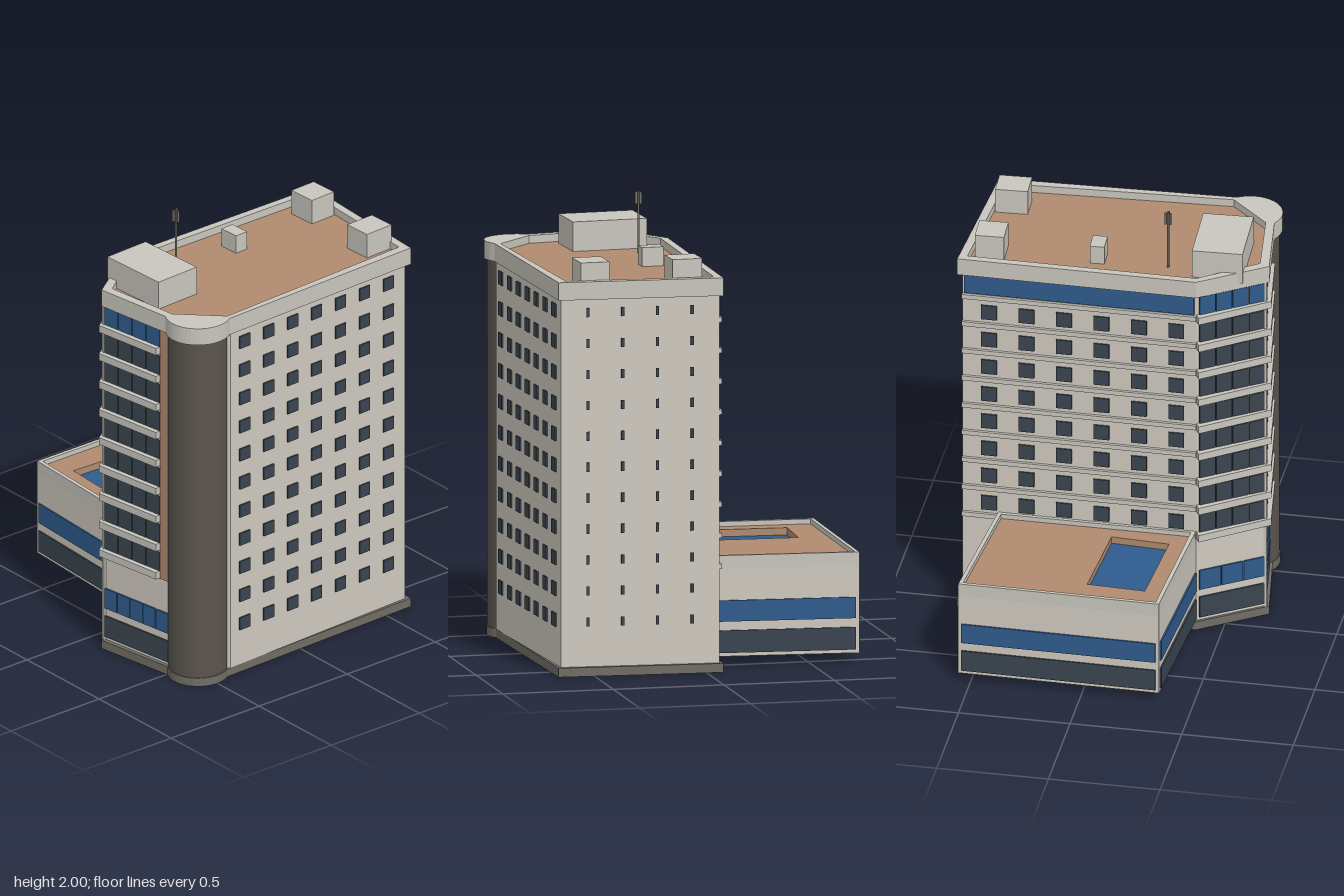
import * as THREE from 'three';

const mat = (name, color) => Object.assign(new THREE.MeshStandardMaterial({ color }), { name });

export function createModel() {
  const root = new THREE.Group();
  root.name = 'officeTower';
  const wall = mat('pale wall', 0xcfc9bf);
  const trim = mat('pale trim', 0xc8c6bd);
  const brown = mat('terracotta', 0xb08a6e);
  const blue = mat('blue glass', 0x2f5b8d);
  const dark = mat('dark glass', 0x3a4550);
  const column = mat('dark column', 0x5a544e);
  const plinthMat = mat('plinth stone', 0x716d65);

  const add = (name, geo, m, parent = root) => {
    const mesh = new THREE.Mesh(geo, m);
    mesh.name = name;
    parent.add(mesh);
    return mesh;
  };
  const group = (name) => {
    const g = new THREE.Group();
    g.name = name;
    root.add(g);
    return g;
  };
  const vecs = (pts) => pts.map(([x, z]) => new THREE.Vector2(x, -z));

  // Upright prism over a plan outline of [x, z] points, with an optional hole
  const prism = (name, pts, y0, y1, m, hole, parent) => {
    const shape = new THREE.Shape(vecs(pts));
    if (hole) shape.holes.push(new THREE.Path(vecs(hole)));
    const geo = new THREE.ExtrudeGeometry(shape, { depth: y1 - y0, bevelEnabled: false });
    geo.rotateX(-Math.PI / 2).translate(0, y0, 0);
    return add(name, geo, m, parent);
  };

  // Plate on the wall from a to b, centred u units along it; outside is to the right of travel seen from below
  const plate = (name, a, b, u, y, w, h, m, parent, depth = 0.008) => {
    const dx = b[0] - a[0], dz = b[1] - a[1], len = Math.hypot(dx, dz);
    const mesh = add(name, new THREE.BoxGeometry(w, h, depth), m, parent);
    const out = depth / 2 - 0.001;
    mesh.position.set(a[0] + (dx * u - dz * out) / len, y, a[1] + (dz * u + dx * out) / len);
    mesh.rotation.y = Math.atan2(-dz, dx);
  };
  const length = (a, b) => Math.hypot(b[0] - a[0], b[1] - a[1]);

  // Tower plan
  const A = [-0.065, 0.385], B = [0.12, 0.655], C = [0.5, 0.6];
  const D = [0.69, 0.41], E = [0.645, -0.62], F = [-0.06, -0.665];
  const cx = 0.575, cz = 0.5;
  const rimOutline = (r) => {
    const pts = [[-0.08, 0.385], [0.12, 0.675]];
    for (let i = 0; i <= 20; i++) {
      const t = THREE.MathUtils.degToRad(121 - i * 7.75);
      pts.push([cx + r * Math.cos(t), cz + r * Math.sin(t)]);
    }
    return pts.concat([[0.66, -0.64], [-0.075, -0.685]]);
  };
  const roofEdge = [[-0.045, 0.38], [0.14, 0.63], [0.5, 0.585], [0.67, 0.41], [0.62, -0.605], [-0.04, -0.645]];

  prism('plinth', rimOutline(0.135), 0, 0.04, plinthMat);
  prism('towerBody', [A, B, C, D, E, F], 0.04, 1.69, wall);
  prism('parapet', rimOutline(0.145), 1.68, 1.76, trim, roofEdge);
  prism('roofDeck', roofEdge, 1.69, 1.725, brown);
  const shaft = add('cornerColumn', new THREE.CylinderGeometry(0.131, 0.131, 1.66, 40), column);
  shaft.position.set(cx, 0.86, cz);

  // Right wall windows
  const rightWindows = group('rightWindows');
  for (let r = 0; r < 11; r++)
    for (let c = 0; c < 7; c++)
      plate('rightWindow', D, E, 0.082 + c * 0.1412, 0.24 + r * 0.138, 0.06, 0.06, dark, rightWindows);

  // Narrow slits in the back wall
  const backWindows = group('backWindows');
  for (let r = 0; r < 11; r++)
    for (let c = 0; c < 4; c++)
      plate('backSlit', E, F, 0.12 + c * 0.155, 0.24 + r * 0.138, 0.014, 0.04, dark, backWindows);

  // Front glazing in panes, with balcony ledges at each floor
  const front = group('frontGlazing');
  const ledges = group('ledges');
  const glazing = (a, b, u0, u1, n, y0, y1, m) => {
    const step = (u1 - u0) / n;
    for (let i = 0; i < n; i++)
      plate('pane', a, b, u0 + (i + 0.5) * step, (y0 + y1) / 2, step - 0.005, y1 - y0, m, front);
  };
  const slant = length(A, B), face = length(B, C), side = length(F, A);
  glazing(A, B, 0.01, slant, 1, 0.055, 0.158, dark);
  glazing(B, C, 0, face, 1, 0.055, 0.158, dark);
  glazing(A, B, 0.01, slant, 3, 0.195, 0.292, blue);
  glazing(B, C, 0, face, 5, 0.195, 0.292, blue);
  const ledgePlan = [A, [-0.095, 0.4], [0.115, 0.685], [0.45, 0.637], [0.45, 0.6], [0.12, 0.64]];
  for (let k = 0; k < 9; k++) {
    const y = 0.47 + k * 0.1375;
    const m = k === 8 ? blue : dark;
    prism('balconyLedge', ledgePlan, y - 0.017, y + 0.017, trim, null, ledges);
    plate('sideLedge', F, A, side / 2, y, side, 0.022, trim, ledges, 0.014);
    glazing(A, B, 0.01, slant, 4, y + 0.017, y + 0.106, m);
    glazing(B, C, 0, 0.334, 4, y + 0.017, y + 0.106, m);
    // Left wall: separate windows, with a blue band on the top floor
    if (k === 8) plate('sideBand', F, A, side / 2, y + 0.062, side - 0.02, 0.09, blue, front);
    else for (let c = 0; c < 6; c++)
      plate('sideWindow', F, A, 0.12 + c * 0.168, y + 0.064, 0.07, 0.07, dark, front);
  }
  plate('terracottaStrip', B, C, 0.359, 1.068, 0.05, 1.235, brown, root);
  const post = add('frontPost', new THREE.BoxGeometry(0.014, 1.64, 0.014), trim);
  post.position.set(0.118, 0.86, 0.658);

  // Low annex with a sunken pool on its roof
  const G = [-0.73, 0.345], H = [-0.06, 0.382], I = [-0.06, -0.504], J = [-0.72, -0.555];
  const inner = [[-0.712, 0.328], [-0.078, 0.362], [-0.078, -0.488], [-0.703, -0.536]];
  const pool = [[-0.588, 0.255], [-0.16, 0.28], [-0.145, 0.02], [-0.577, -0.005]];
  prism('annexBody', [G, H, I, J], 0.04, 0.43, wall);
  prism('annexParapet', [G, H, I, J], 0.43, 0.49, trim, inner);
  prism('annexRoof', inner, 0.43, 0.468, brown, pool);
  prism('pool', pool, 0.43, 0.436, blue);
  const bands = group('annexWindows');
  for (const [a, b, u, w] of [[G, H, 0.333, 0.63], [I, J, 0.34, 0.61], [J, G, 0.45, 0.87]]) {
    plate('annexDarkBand', a, b, u, 0.106, w, 0.1, dark, bands);
    plate('annexBlueBand', a, b, u, 0.243, w, 0.094, blue, bands);
  }

  // Rooftop plant boxes: x, z, width, depth, top
  const plant = group('roofBoxes');
  for (const [x, z, w, d, top] of [
    [0.198, 0.452, 0.338, 0.225, 1.857], [0.077, -0.56, 0.135, 0.13, 1.84],
    [0.492, -0.542, 0.13, 0.145, 1.84], [0.11, -0.087, 0.098, 0.065, 1.81]]) {
    const box = add('roofBox', new THREE.BoxGeometry(w, top - 1.71, d), trim, plant);
    box.position.set(x, (top + 1.71) / 2, z);
    box.rotation.y = 0.045;
  }

  // Antenna
  const mast = add('antennaMast', new THREE.CylinderGeometry(0.005, 0.005, 0.28, 8), plinthMat);
  mast.position.set(0.09, 1.86, 0.228);
  for (let i = 0; i < 3; i++) {
    const t = (i * Math.PI * 2) / 3;
    const panel = add('antennaPanel', new THREE.BoxGeometry(0.01, 0.055, 0.01), plinthMat);
    panel.position.set(0.09 + 0.012 * Math.cos(t), 1.9725, 0.228 + 0.012 * Math.sin(t));
  }
  return root;
}
